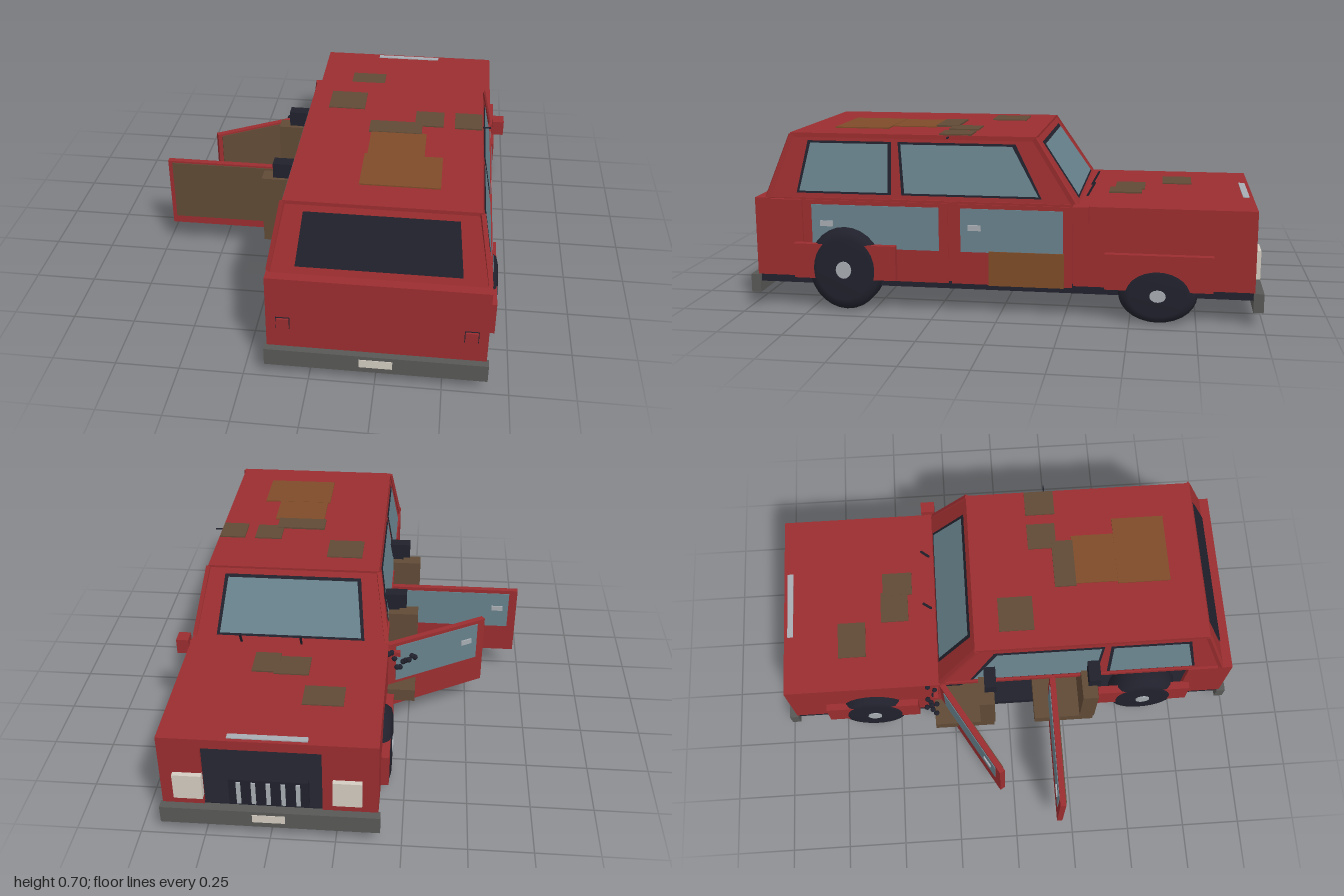
import * as THREE from 'three';

const mat = (name, color, side = THREE.FrontSide) => {
  const m = new THREE.MeshStandardMaterial({ color, side });
  m.name = name;
  return m;
};

export function createModel() {
  const red = mat('red paint', 0x9a2d2f, THREE.DoubleSide);
  const black = mat('black rubber', 0x20212c, THREE.DoubleSide);
  const glass = mat('blue glass', 0x67818b, THREE.DoubleSide);
  const grey = mat('bumper grey', 0x585856);
  const light = mat('lamp white', 0xd2cbc0);
  const chrome = mat('chrome', 0xa6acb2);
  const brown = mat('brown', 0x604a36);
  const rust = mat('rust', 0x7e4b29);

  const car = new THREE.Group();
  car.name = 'car';
  const CX = 0.25; // centre line of the body

  const add = (name, geo, material, parent = car) => {
    const m = new THREE.Mesh(geo, material);
    m.name = name;
    parent.add(m);
    return m;
  };
  // Box given by its limits on each axis
  const box = (name, material, x0, x1, y0, y1, z0, z1, parent = car) => {
    const m = add(name, new THREE.BoxGeometry(x1 - x0, y1 - y0, z1 - z0), material, parent);
    m.position.set((x0 + x1) / 2, (y0 + y1) / 2, (z0 + z1) / 2);
    return m;
  };
  // Flat four-cornered plate
  const quad = (name, material, pts) => {
    const g = new THREE.BufferGeometry();
    g.setAttribute('position', new THREE.Float32BufferAttribute(pts.flat(), 3));
    g.setIndex([0, 1, 2, 0, 2, 3]);
    g.computeVertexNormals();
    return add(name, g, material);
  };

  // Floor and lower body shell
  box('floor', black, -0.155, 0.655, 0.1, 0.135, -0.96, 0.96);
  box('hood', red, -0.16, 0.66, 0.42, 0.44, -0.965, -0.28);
  box('rearDeck', red, -0.16, 0.66, 0.42, 0.44, 0.91, 0.97);
  box('tailgate', red, -0.16, 0.66, 0.13, 0.435, 0.95, 0.97);
  box('firewall', red, -0.14, 0.64, 0.13, 0.43, -0.3, -0.28);
  box('dashboard', black, -0.13, 0.63, 0.33, 0.43, -0.28, -0.2);
  for (const s of [-1, 1]) {
    const a = CX + s * 0.39, b = CX + s * 0.41;
    const x0 = Math.min(a, b), x1 = Math.max(a, b);
    box('frontFender', red, x0, x1, 0.13, 0.435, -0.965, -0.285);
    box('rearQuarter', red, x0, x1, 0.13, 0.435, 0.78, 0.965);
    box('doorPillar', red, x0 + 0.003, x1 - 0.003, 0.13, 0.44, 0.185, 0.2);
    box('beltRail', red, x0 + 0.004, x1 - 0.004, 0.425, 0.445, -0.29, 0.79);
    // Wheel arch flares
    const f0 = CX + s * 0.405, f1 = CX + s * 0.44;
    for (const z of [-0.607, 0.605])
      box('archFlare', red, Math.min(f0, f1), Math.max(f0, f1), 0.13, 0.267, z - 0.203, z + 0.203);
  }

  // Nose with open centre, lamps and grille
  box('nosePanelRight', red, -0.155, 0.05, 0.13, 0.43, -0.965, -0.95);
  box('nosePanelLeft', red, 0.5, 0.655, 0.13, 0.43, -0.965, -0.95);
  box('noseTop', red, 0.05, 0.5, 0.4, 0.43, -0.965, -0.95);
  box('grille', black, 0.1, 0.4, 0.15, 0.27, -0.98, -0.95);
  for (let i = 0; i < 5; i++)
    box('grilleBar', chrome, 0.13 + i * 0.056, 0.146 + i * 0.056, 0.16, 0.26, -0.987, -0.975);
  for (const x of [-0.1, 0.5]) box('headlight', light, x, x + 0.11, 0.17, 0.28, -0.985, -0.955);
  box('hoodStrip', chrome, 0.1, 0.4, 0.438, 0.444, -0.95, -0.925);

  // Bumpers, plates and tail lamps
  for (const s of [-1, 1]) {
    const z0 = s < 0 ? -0.998 : 0.96;
    box('bumper', grey, -0.168, 0.668, 0.057, 0.13, z0, z0 + 0.038);
    const p = s * 0.998;
    box('numberPlate', light, 0.19, 0.315, 0.08, 0.115, p - 0.002, p + 0.002);
  }
  for (const x of [-0.12, 0.575]) {
    box('tailLampRim', black, x - 0.003, x + 0.05, 0.215, 0.266, 0.968, 0.972);
    box('tailLamp', red, x, x + 0.047, 0.218, 0.263, 0.968, 0.98);
  }

  // Cabin: sloped panels, each window a dark surround with a pane on it
  const t = (y) => (y - 0.44) / 0.25;
  const maps = {
    left: (z, y, o) => [CX + 0.4 - 0.045 * t(y) + o, y, z],
    right: (z, y, o) => [CX - 0.4 + 0.045 * t(y) - o, y, z],
    front: (x, y, o) => [x, y, -0.3 + 0.17 * t(y) - o],
    rear: (x, y, o) => [x, y, 0.93 - 0.1 * t(y) + o],
  };
  const plate = (name, side, material, pts, o) =>
    quad(name, material, pts.map(([u, y]) => maps[side](u, y, o)));
  const windowPane = (side, material, pts, rim) => {
    const cu = pts.reduce((a, p) => a + p[0], 0) / 4;
    const grown = pts.map(([u, y]) => [u + Math.sign(u - cu) * rim, y + (y > 0.56 ? rim : -rim) * 0.7]);
    plate('windowSurround', side, black, grown, 0.004);
    plate('windowPane', side, material, pts, 0.008);
  };
  const sideWall = [[-0.3, 0.44], [0.93, 0.44], [0.83, 0.69], [-0.13, 0.69]];
  const endWall = [[-0.15, 0.44], [0.65, 0.44], [0.605, 0.69], [-0.105, 0.69]];
  for (const side of ['left', 'right']) {
    plate('cabinSide', side, red, sideWall, 0);
    windowPane(side, glass, [[0.435, 0.47], [0.79, 0.47], [0.75, 0.655], [0.44, 0.655]], 0.012);
    windowPane(side, glass, [[-0.15, 0.47], [0.37, 0.47], [0.39, 0.655], [-0.045, 0.655]], 0.012);
  }
  plate('windscreenFrame', 'front', red, endWall, 0);
  windowPane('front', glass, [[-0.045, 0.462], [0.545, 0.462], [0.52, 0.655], [-0.02, 0.655]], 0.014);
  plate('cabinBack', 'rear', red, endWall, 0);
  windowPane('rear', black, [[-0.05, 0.47], [0.55, 0.47], [0.527, 0.655], [-0.027, 0.655]], 0.004);
  box('roof', red, -0.108, 0.608, 0.675, 0.692, -0.135, 0.835);

  // Corner ribs of the cabin
  for (const side of ['left', 'right']) for (const end of [-1, 1]) {
    const a = new THREE.Vector3(...maps[side](end < 0 ? -0.29 : 0.92, 0.44, 0));
    const b = new THREE.Vector3(...maps[side](end < 0 ? -0.13 : 0.83, 0.685, 0));
    const rib = add('cornerRib', new THREE.BoxGeometry(0.018, 0.018, a.distanceTo(b)), red);
    rib.position.copy(a).add(b).multiplyScalar(0.5);
    rib.lookAt(b);
  }

  // Worn patches: x0, x1, z0, z1
  const patch = (m, y, list) => list.forEach(([a, b, c, d], i) =>
    box('wornPatch', m, a, b, y - 0.002, y + 0.003 + i * 0.001, c, d));
  patch(brown, 0.441, [[-0.01, 0.15, -0.73, -0.61], [0.145, 0.285, -0.54, -0.42], [0.27, 0.375, -0.53, -0.4]]);
  patch(brown, 0.693, [[-0.03, 0.12, -0.03, 0.115], [0.335, 0.45, 0.115, 0.235],
    [0.495, 0.605, 0.115, 0.24], [0.155, 0.365, 0.215, 0.305]]);
  patch(rust, 0.693, [[0.165, 0.385, 0.3, 0.48], [0.155, 0.455, 0.48, 0.7]]);
  box('doorRust', rust, 0.66, 0.668, 0.12, 0.255, -0.25, 0.04);

  // Doors hinged at their front edge; s is the outward side along x
  const door = (name, s, len, x, z, turn, handle) => {
    const g = new THREE.Group();
    g.name = name;
    const layer = (part, m, d0, d1, y0, y1, z0, z1) =>
      box(part, m, Math.min(s * d0, s * d1), Math.max(s * d0, s * d1), y0, y1, z0, z1, g);
    layer('doorSkin', red, -0.012, 0.012, 0.122, 0.436, 0.004, len - 0.004);
    layer('doorWindow', glass, 0.01, 0.015, 0.25, 0.42, 0.04, len - 0.04);
    layer('doorHandle', chrome, 0.01, 0.021, 0.335, 0.357, handle, handle + 0.05);
    layer('doorLining', brown, -0.016, -0.01, 0.158, 0.428, 0.03, len - 0.022);
    g.position.set(x, 0, z);
    g.rotation.y = turn;
    car.add(g);
  };
  door('closedFrontDoor', 1, 0.475, 0.649, -0.285, 0, 0.355);
  door('closedRearDoor', 1, 0.585, 0.649, 0.195, 0, 0.46);
  door('openFrontDoor', -1, 0.475, -0.15, -0.29, -1.04, 0.355);
  door('openRearDoor', -1, 0.575, -0.145, 0.19, -Math.PI / 2, 0.46);

  // Seats
  for (const z of [-0.33, 0.11]) for (const x of [-0.155, 0.36]) {
    const g = new THREE.Group();
    g.name = 'seat';
    box('seatCushion', brown, -0.12, 0.12, 0.18, 0.235, 0, 0.26, g);
    box('seatBack', brown, -0.12, 0.12, 0.225, 0.485, 0.2, 0.265, g);
    box('headrestPost', black, -0.04, 0.04, 0.48, 0.505, 0.235, 0.25, g);
    box('headrest', black, -0.07, 0.07, 0.5, 0.565, 0.225, 0.275, g);
    g.position.set(x, 0, z);
    car.add(g);
  }

  // Wheels; one front tyre is flat
  const profile = [[0, -0.058], [0.12, -0.058], [0.15, -0.05], [0.165, -0.028],
    [0.165, 0.028], [0.15, 0.05], [0.12, 0.058], [0, 0.058]].map(([r, y]) => new THREE.Vector2(r, y));
  for (const s of [-1, 1]) for (const z of [-0.605, 0.608]) {
    const flat = s > 0 && z < 0;
    const wheel = new THREE.Group();
    wheel.name = 'wheel';
    add('tyre', new THREE.LatheGeometry(profile, 28), black, wheel).rotation.z = Math.PI / 2;
    const hub = add('hub', new THREE.CylinderGeometry(0.034, 0.034, 0.126, 16), chrome, wheel);
    hub.rotation.z = Math.PI / 2;
    wheel.position.set(CX + s * 0.386, flat ? 0.113 : 0.168, z);
    wheel.scale.set(1, flat ? 0.68 : 1, 0.9);
    car.add(wheel);
  }

  // Intact mirror, and loose wiring where the other one was
  box('mirrorArm', red, 0.64, 0.68, 0.41, 0.425, -0.318, -0.305);
  box('mirror', red, 0.67, 0.72, 0.385, 0.45, -0.345, -0.285);
  for (let i = 0; i < 16; i++) {
    const bead = add('looseWire', new THREE.SphereGeometry(0.012, 8, 6), black);
    bead.position.set(-0.09 - i * 0.012, 0.41 - 0.03 * Math.sin(i * 0.8) - i * 0.002, -0.335 + 0.02 * Math.cos(i * 1.7));
  }
  box('mirrorStub', red, -0.21, -0.15, 0.4, 0.42, -0.325, -0.305);

  // Wipers and aerial
  for (const x of [0.2, 0.45]) {
    const w = box('wiper', black, x - 0.004, x + 0.004, 0.435, 0.5, -0.338, -0.33);
    w.rotation.x = -0.5;
  }
  box('aerial', black, 0.6, 0.64, 0.683, 0.688, 0.2, 0.205);

  return car;
}
